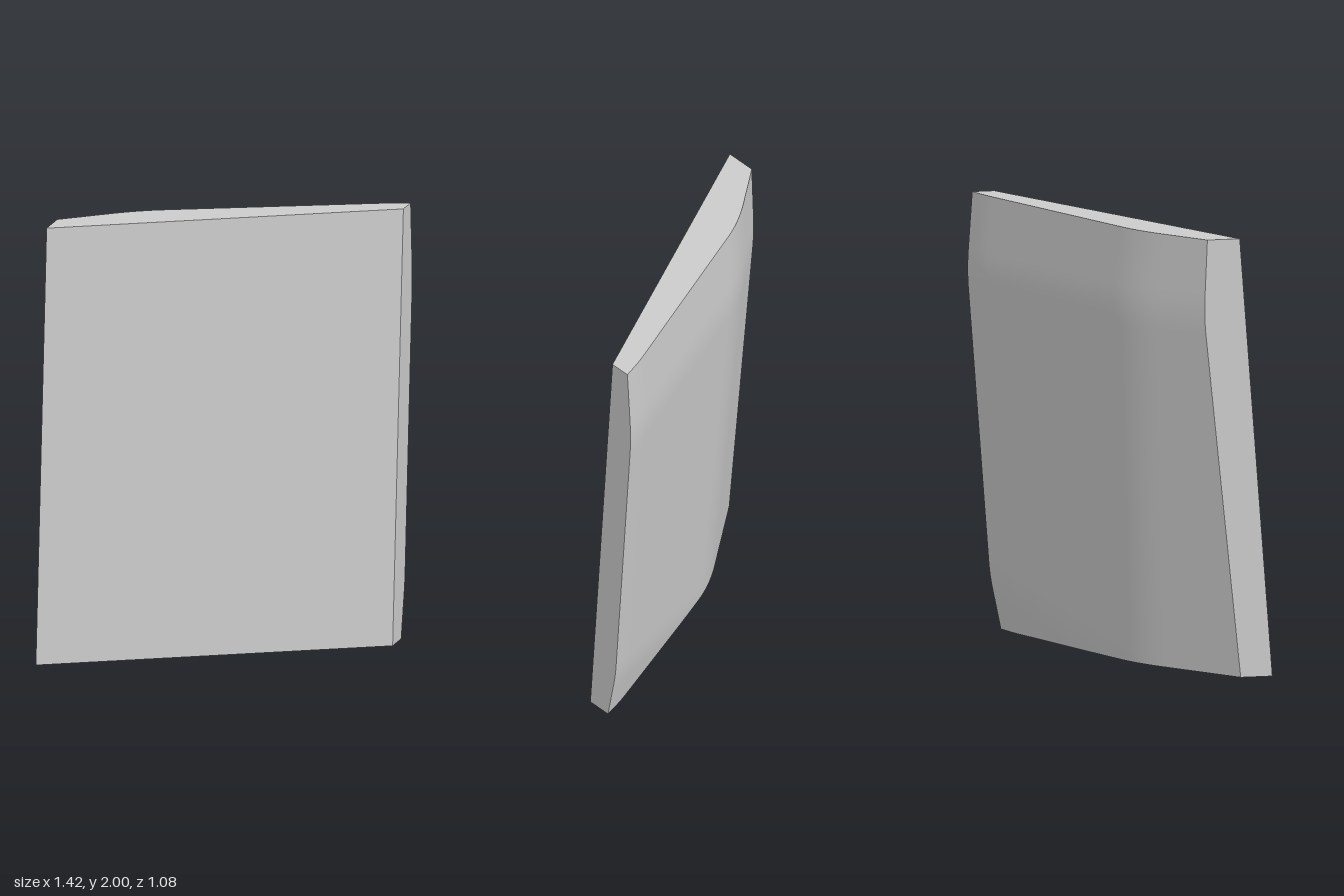
import * as THREE from 'three';

// Smooth minimum: k sets the width of the rounded ridge.
function softMin(a, b, k) {
  const h = Math.max(k - Math.abs(a - b), 0) / k;
  return Math.min(a, b) - h * h * k / 4;
}

// Smooth version of max(0, v).
const softRamp = (v, k) => -softMin(0, -v, k);

// Slanted flat front plane.
const frontZ = (x, y) => 0.135 - 0.57 * x - 0.075 * y;

// Slab thickness: two broad back facets meeting in a ridge, with bevelled ends.
function thickness(x, y) {
  const narrowFacet = 0.145 + 0.027 * y + 0.27 * (x + 0.71);
  const wideFacet = 0.237 - 0.105 * x;
  const topBevel = 0.145 * softRamp(y - 1.65, 0.09);
  const bottomBevel = 0.13 * softRamp(0.25 - y - 0.3 * (0.71 - x), 0.06);
  const edgeBevel = 0.1 * softRamp(x - 0.6, 0.04);
  return softMin(narrowFacet, wideFacet, 0.04) - topBevel - bottomBevel - edgeBevel;
}

export function createModel() {
  const group = new THREE.Group();
  group.name = 'slantedPanel';

  // A subdivided box, sheared to the front plane and given a shaped back.
  const geometry = new THREE.BoxGeometry(1.416, 2, 1, 56, 80, 1);
  geometry.translate(0, 1, 0);
  const p = geometry.attributes.position;
  for (let i = 0; i < p.count; i++) {
    const x = p.getX(i), y = p.getY(i);
    const isBack = p.getZ(i) < 0;
    p.setZ(i, frontZ(x, y) - (isBack ? thickness(x, y) : 0));
  }
  geometry.computeVertexNormals();

  const panel = new THREE.Mesh(geometry, new THREE.MeshStandardMaterial({ color: 0xcccccc }));
  panel.name = 'panel';
  group.add(panel);
  return group;
}
